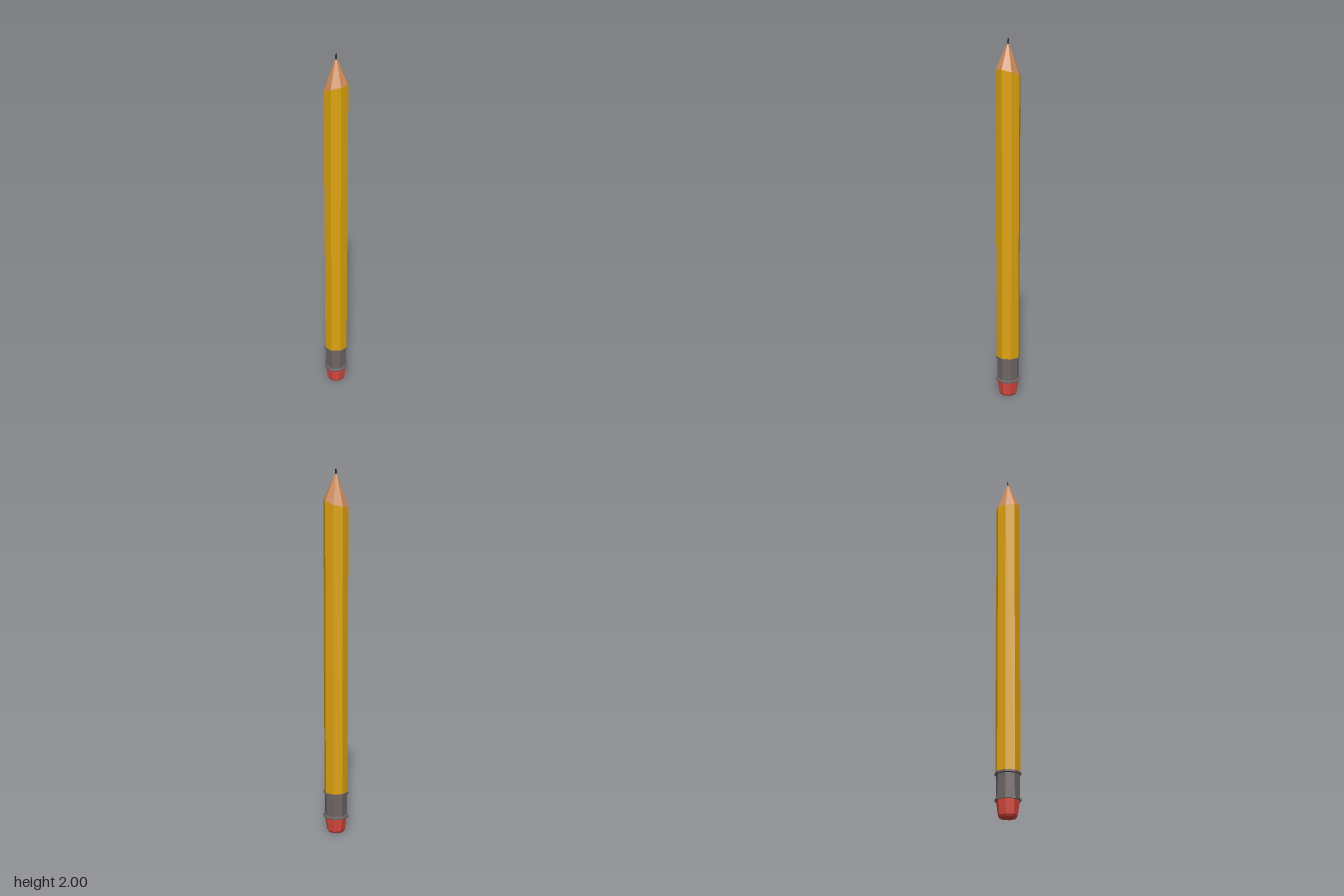
import * as THREE from 'three';

const colour = (name, hex) => {
  const m = new THREE.MeshStandardMaterial({ color: hex });
  m.name = name;
  return m;
};

export function createModel() {
  const yellow = colour('yellow paint', 0xdfa30f);
  const wood = colour('bare wood', 0xcb8a5a);
  const metal = colour('grey metal', 0x6e6665);
  const rubber = colour('red rubber', 0xdc4a40);
  const graphite = colour('graphite', 0x2c2c2c);

  const pencil = new THREE.Group();
  pencil.name = 'pencil';

  // Faceted octagonal part from [distance to flat side, height] pairs, bottom to top
  const facet = (name, profile, material, warp) => {
    const k = 1 / Math.cos(Math.PI / 8);
    const points = profile.map(([r, y]) => new THREE.Vector2(r * k, y));
    const lathe = new THREE.LatheGeometry(points, 8, Math.PI / 8);
    const p = lathe.attributes.position;
    if (warp) {
      for (let i = 0; i < p.count; i++) {
        p.setY(i, warp(p.getX(i), p.getY(i), p.getZ(i)));
      }
    }
    const geometry = lathe.toNonIndexed();
    geometry.computeVertexNormals();
    const mesh = new THREE.Mesh(geometry, material);
    mesh.name = name;
    pencil.add(mesh);
  };

  // The hand-sharpened edge between paint and wood is slightly tilted
  const edgeY = 1.825;
  const tilt = (x, y, z) => (Math.abs(y - edgeY) < 0.001 ? y + 0.25 * x + 0.22 * z : y);

  // Eraser
  facet('eraser', [[0, 0], [0.04, 0.003], [0.047, 0.014], [0.058, 0.1]], rubber);

  // Metal sleeve with a thin flange at each end
  facet('ferrule', [
    [0.052, 0.09], [0.065, 0.09], [0.065, 0.1], [0.057, 0.103],
    [0.057, 0.224], [0.065, 0.227], [0.065, 0.237], [0.052, 0.237],
  ], metal);

  // Painted shaft, sharpened wood and lead
  facet('shaft', [[0.061, 0.233], [0.062, edgeY]], yellow, tilt);
  facet('sharpenedWood', [[0.062, edgeY], [0.006, 1.972], [0, 1.973]], wood, tilt);
  facet('lead', [[0.007, 1.968], [0.0045, 1.978], [0.0035, 2], [0, 2]], graphite);

  return pencil;
}
